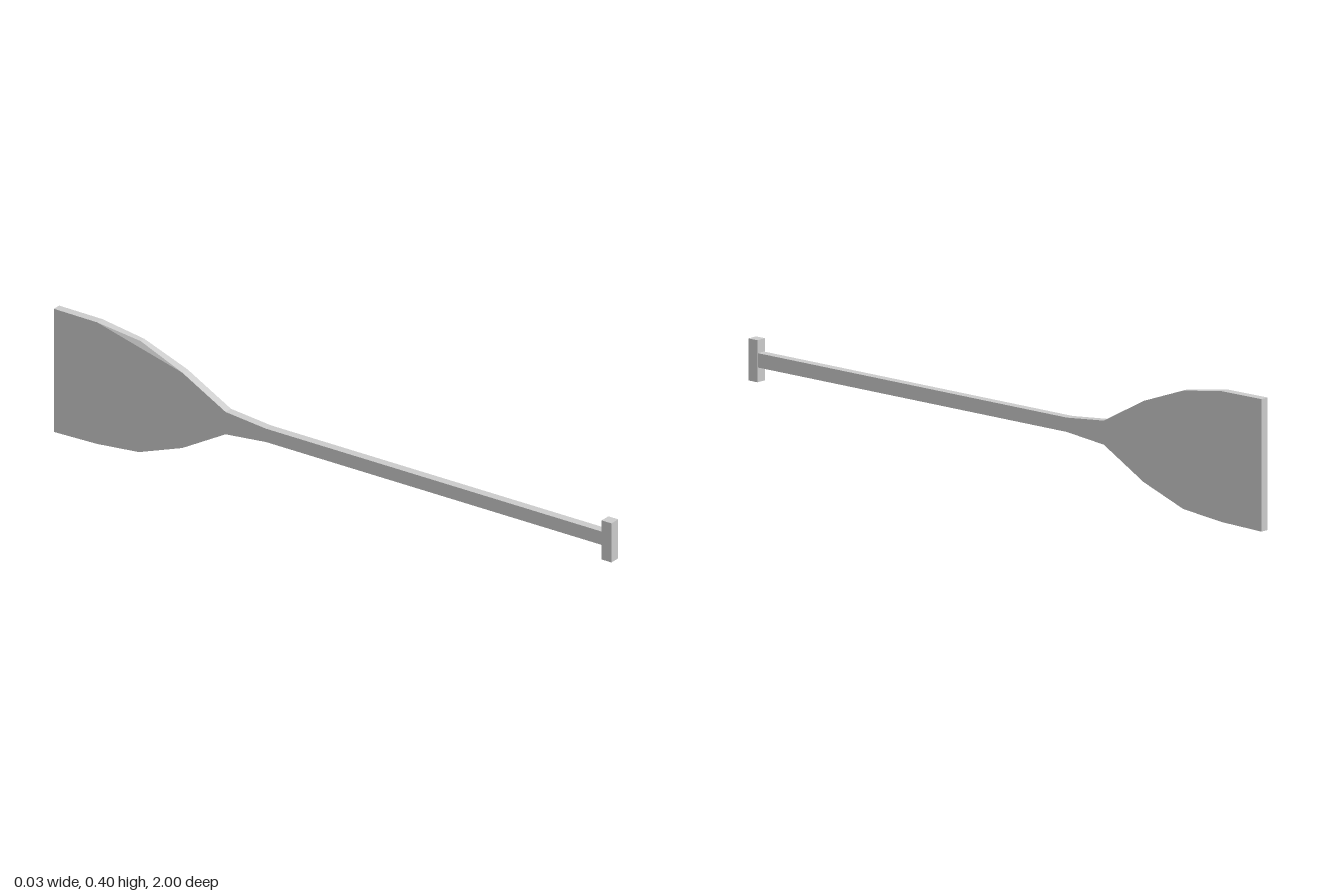
import * as THREE from 'three';

const RIGHT = -0.013, LEFT = 0.014;

// Flat slab from a counter-clockwise (z, y) outline; one corner of the right face is dented inward.
function slab(outline, dented, dentX) {
  const n = outline.length;
  const pos = [];
  const put = (i, left) => {
    const p = outline[i];
    pos.push(left ? LEFT : i === dented ? dentX : RIGHT, p.y, p.x);
  };
  // Faces: triangulate without the dented corner, then add that corner as its own triangle
  const keep = outline.map((_, i) => i).filter((i) => i !== dented);
  const tris = THREE.ShapeUtils.triangulateShape(keep.map((i) => outline[i]), [])
    .map((t) => t.map((k) => keep[k]));
  tris.push([dented - 1, dented, dented + 1]);
  for (const [a, b, c] of tris) {
    put(a, false); put(b, false); put(c, false);
    put(a, true); put(c, true); put(b, true);
  }
  // Rim
  for (let i = 0; i < n; i++) {
    const j = (i + 1) % n;
    put(i, false); put(i, true); put(j, true);
    put(i, false); put(j, true); put(j, false);
  }
  const geo = new THREE.BufferGeometry();
  geo.setAttribute('position', new THREE.Float32BufferAttribute(pos, 3));
  geo.computeVertexNormals();
  return geo;
}

export function createModel() {
  const group = new THREE.Group();
  const material = new THREE.MeshStandardMaterial({ color: 0xcccccc, flatShading: true });

  // Stations from blade tip to grip: z, lower y, upper y
  const stations = [
    [-1, 0, 0.397], [-0.845, 0.004, 0.396], [-0.695, 0.019, 0.374],
    [-0.54, 0.075, 0.318], [-0.385, 0.162, 0.234], [-0.24, 0.177, 0.22], [0.967, 0.177, 0.22],
  ];
  const lower = stations.map(([z, y]) => new THREE.Vector2(z, y));
  const upper = stations.map(([z, , y]) => new THREE.Vector2(z, y)).reverse();
  const outline = [...lower, ...upper];

  // Shaft and blade in one piece, with the chipped upper corner of the blade
  const paddle = new THREE.Mesh(slab(outline, outline.length - 3, -0.005), material);
  paddle.name = 'shaftAndBlade';
  group.add(paddle);

  // Crosswise grip at the front end
  const grip = new THREE.Mesh(new THREE.BoxGeometry(0.034, 0.126, 0.035), material);
  grip.name = 'gripHandle';
  grip.position.set(-0.001, 0.196, 0.9825);
  group.add(grip);

  return group;
}
